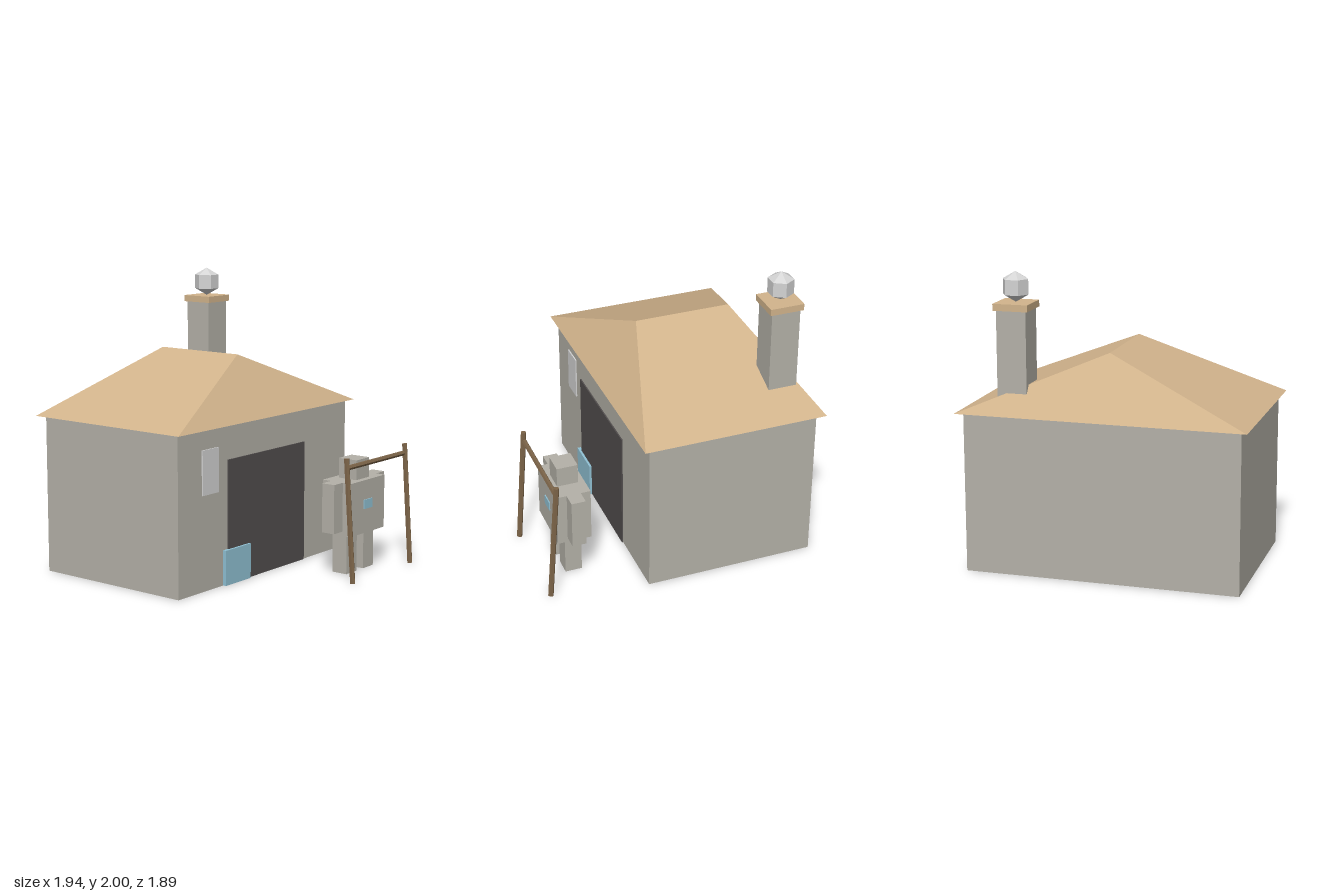
import * as THREE from 'three';

export function createModel() {
  const model = new THREE.Group();
  model.name = 'forgeHouse';

  const mat = (name, color) => {
    const m = new THREE.MeshStandardMaterial({ color, flatShading: true });
    m.name = name;
    return m;
  };
  const stone = mat('stone', 0xb4b1a8);
  const tan = mat('tanRoof', 0xd2b48c);
  const dark = mat('darkDoor', 0x524e4e);
  const pale = mat('paleGrey', 0xd4d4d4);
  const blue = mat('blue', 0x90c1d4);
  const wood = mat('wood', 0x7d6549);

  const add = (parent, name, geometry, material) => {
    const mesh = new THREE.Mesh(geometry, material);
    mesh.name = name;
    parent.add(mesh);
    return mesh;
  };
  // Box given by its low and high limits on each axis
  const box = (parent, name, material, [x0, x1], [y0, y1], [z0, z1]) => {
    const mesh = add(parent, name, new THREE.BoxGeometry(x1 - x0, y1 - y0, z1 - z0), material);
    mesh.position.set((x0 + x1) / 2, (y0 + y1) / 2, (z0 + z1) / 2);
    return mesh;
  };
  // Six-sided pole between two points
  const pole = (parent, name, from, to, radius) => {
    const a = new THREE.Vector3(...from), b = new THREE.Vector3(...to);
    const dir = b.clone().sub(a);
    const mesh = add(parent, name, new THREE.CylinderGeometry(radius, radius, dir.length(), 6), wood);
    mesh.position.copy(a).add(b).multiplyScalar(0.5);
    mesh.quaternion.setFromUnitVectors(new THREE.Vector3(0, 1, 0), dir.normalize());
    return mesh;
  };

  // House
  box(model, 'walls', stone, [-0.925, 0.925], [0, 1.08], [-0.895, 0.277]);
  box(model, 'doorway', dark, [-0.423, 0.423], [0, 0.845], [0.277, 0.286]);
  box(model, 'window', pale, [-0.688, -0.523], [0.645, 0.945], [0.277, 0.286]);
  box(model, 'bluePanel', blue, [-0.47, -0.205], [0, 0.24], [0.277, 0.302]);

  // Hipped roof: four eave corners, then the front and back ends of the ridge
  const roof = new THREE.BufferGeometry();
  roof.setAttribute('position', new THREE.Float32BufferAttribute([
    -0.97, 1.08, 0.322, 0.97, 1.08, 0.322, 0.97, 1.08, -0.948, -0.97, 1.08, -0.948,
    0, 1.48, 0.022, 0, 1.48, -0.652,
  ], 3));
  roof.setIndex([0, 1, 4, 1, 2, 5, 1, 5, 4, 2, 3, 5, 3, 0, 4, 3, 4, 5, 0, 3, 2, 0, 2, 1]);
  const roofFaces = roof.toNonIndexed();
  roofFaces.computeVertexNormals();
  add(model, 'roof', roofFaces, tan);

  // Chimney with cap and faceted ball
  const chimney = new THREE.Group();
  chimney.name = 'chimney';
  chimney.position.set(0.602, 0, -0.747);
  model.add(chimney);
  box(chimney, 'chimneyStack', stone, [-0.1, 0.1], [1.1, 1.755], [-0.1, 0.1]);
  box(chimney, 'chimneyCap', tan, [-0.117, 0.117], [1.755, 1.8], [-0.117, 0.117]);
  add(chimney, 'chimneyBall', new THREE.SphereGeometry(0.1, 6, 3), pale).position.y = 1.9;

  // Blocky stone figure
  const figure = new THREE.Group();
  figure.name = 'stoneFigure';
  figure.position.set(0.435, 0, 0.697);
  model.add(figure);
  box(figure, 'torso', stone, [-0.202, 0.202], [0.275, 0.643], [-0.117, 0.117]);
  box(figure, 'head', stone, [-0.076, 0.076], [0.643, 0.78], [-0.073, 0.073]);
  box(figure, 'chestPlate', blue, [-0.049, 0.049], [0.444, 0.508], [0.117, 0.124]);
  for (const [side, s] of [['left', 1], ['right', -1]]) {
    const limb = (name, xc, half, y, z) =>
      box(figure, side + name, stone, [s * xc - half, s * xc + half], y, [-z, z]);
    limb('Arm', 0.252, 0.05, [0.305, 0.643], 0.049);
    limb('Leg', 0.101, 0.061, [0, 0.275], 0.058);
  }

  // Leaning wooden frame
  const frame = new THREE.Group();
  frame.name = 'woodenFrame';
  model.add(frame);
  pole(frame, 'rightPost', [0.1, 0.002, 0.927], [0.1, 0.843, 0.866], 0.019);
  pole(frame, 'leftPost', [0.805, 0.002, 0.927], [0.805, 0.843, 0.866], 0.019);
  pole(frame, 'crossbar', [0.1, 0.778, 0.866], [0.805, 0.778, 0.866], 0.017);

  return model;
}
